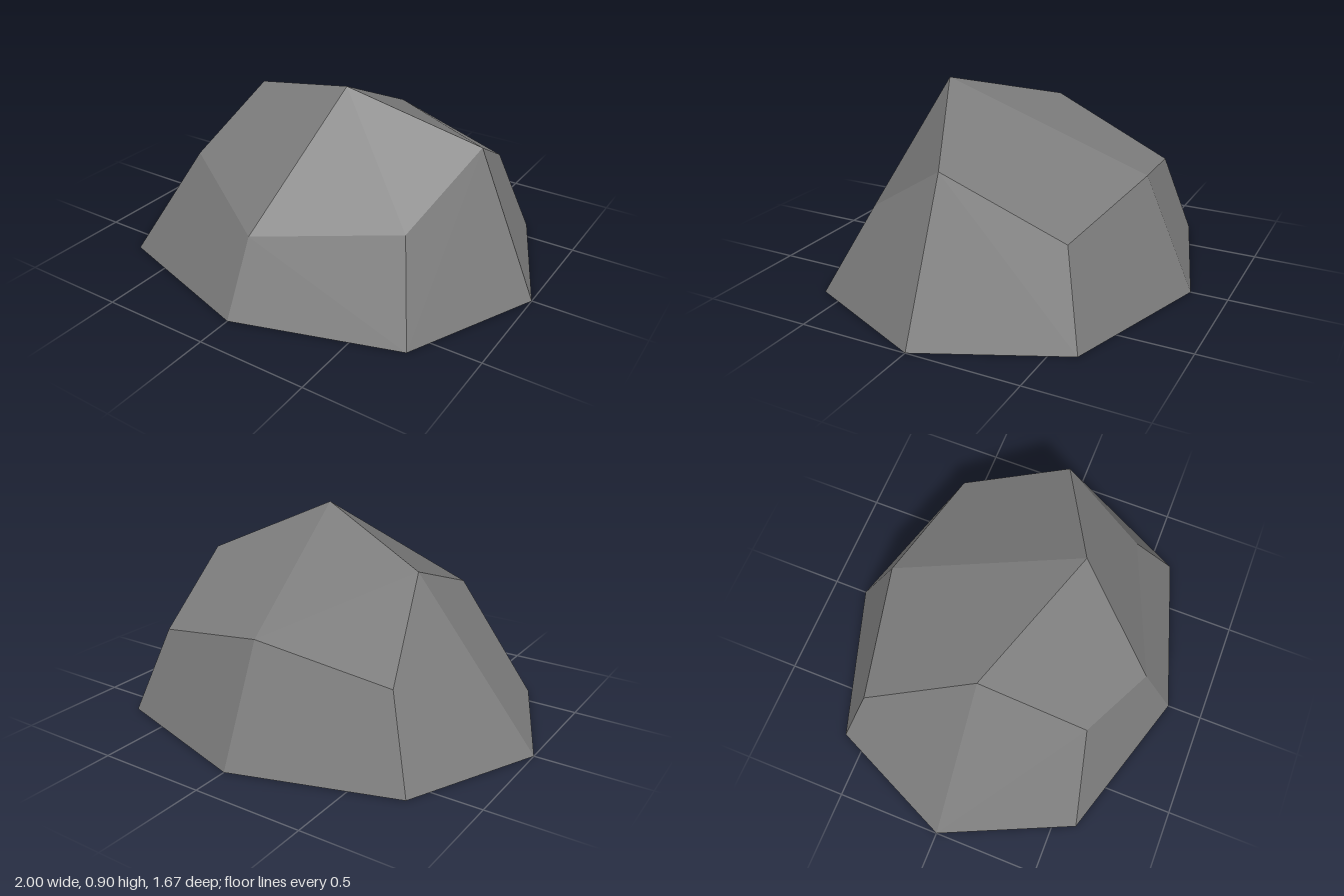
import * as THREE from 'three';

// Rings run from +x through +z, eight corners each
const base = [
  [1, 0, 0], [0.725, 0, 0.607], [0, 0, 0.834], [-0.725, 0, 0.607],
  [-1, 0, 0], [-0.725, 0, -0.607], [0, 0, -0.834], [0.725, 0, -0.607],
];
const shoulder = [
  [0.72, 0.655, 0], [0.595, 0.397, 0.41], [0, 0.325, 0.67], [-0.397, 0.54, 0.5],
  [-0.42, 0.715, 0], [-0.595, 0.395, -0.5], [0, 0.51, -0.61], [0.595, 0.395, -0.5],
];
const peak = [0.21, 0.9, 0.25];

// Builds flat facets; each facet has one normal over its whole area
function facetGeometry(facets) {
  const positions = [], normals = [];
  for (const facet of facets) {
    const p = facet.map((c) => new THREE.Vector3(...c));
    const normal = new THREE.Vector3();
    p.forEach((v, i) => normal.add(v.clone().cross(p[(i + 1) % p.length])));
    normal.normalize();
    // Start a four-sided facet where its diagonal bulges outward
    if (p.length === 4) {
      const side = p[1].clone().sub(p[0]).cross(p[3].clone().sub(p[0]));
      if (side.dot(p[2].clone().sub(p[0])) < 0) p.push(p.shift());
    }
    for (let i = 1; i < p.length - 1; i++) {
      for (const v of [p[0], p[i], p[i + 1]]) {
        positions.push(v.x, v.y, v.z);
        normals.push(normal.x, normal.y, normal.z);
      }
    }
  }
  const geometry = new THREE.BufferGeometry();
  geometry.setAttribute('position', new THREE.Float32BufferAttribute(positions, 3));
  geometry.setAttribute('normal', new THREE.Float32BufferAttribute(normals, 3));
  return geometry;
}

export function createModel() {
  const group = new THREE.Group();
  group.name = 'rock';
  const stone = new THREE.MeshStandardMaterial({ color: 0x7c7c7c });
  stone.name = 'stone grey';

  const add = (name, facets) => {
    const mesh = new THREE.Mesh(facetGeometry(facets), stone);
    mesh.name = name;
    group.add(mesh);
  };

  // Sloping sides between the two rings
  add('sides', base.map((b, i) => {
    const j = (i + 1) % 8;
    return [b, shoulder[i], shoulder[j], base[j]];
  }));

  // Four large facets meeting at the off-centre peak
  add('crown', [0, 2, 4, 6].map((i) => [peak, shoulder[(i + 2) % 8], shoulder[i + 1], shoulder[i]]));

  // Flat underside
  add('underside', [base]);

  return group;
}
